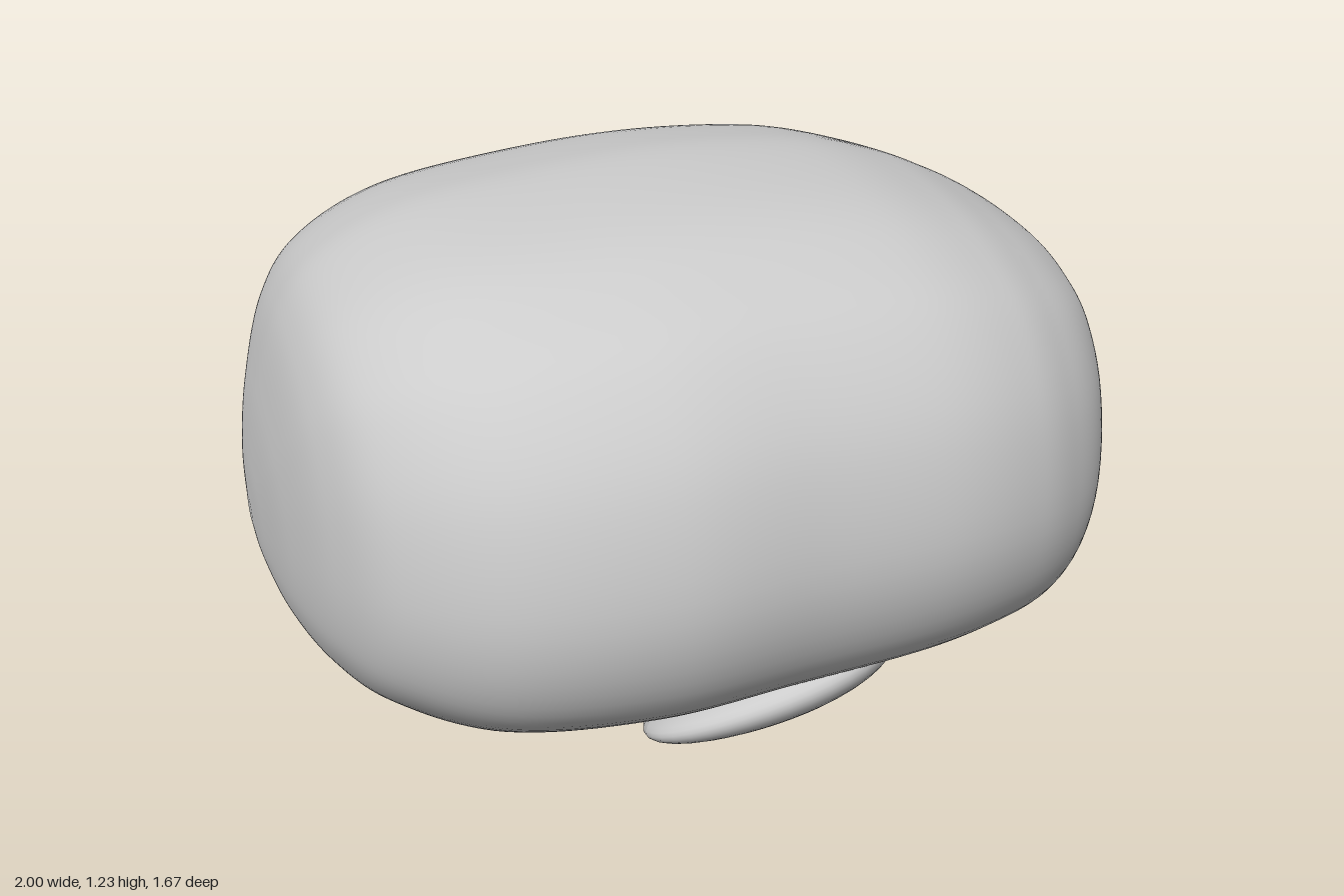
import * as THREE from 'three';
import { mergeVertices } from 'three/addons/utils/BufferGeometryUtils.js';

const material = new THREE.MeshStandardMaterial({ color: 0xcccccc });

// Body extents at stations along x: [x, top, bottom, front, back]
const STATIONS = [
  [-1.0, 0.44, 0.38, -0.2, -0.27],
  [-0.99, 0.57, 0.32, -0.04, -0.38],
  [-0.96, 0.75, 0.26, 0.2, -0.47],
  [-0.9, 0.95, 0.195, 0.43, -0.57],
  [-0.8, 1.075, 0.13, 0.61, -0.68],
  [-0.6, 1.165, 0.06, 0.76, -0.79],
  [-0.3, 1.21, 0.04, 0.83, -0.835],
  [0, 1.225, 0.04, 0.82, -0.84],
  [0.3, 1.205, 0.055, 0.81, -0.825],
  [0.5, 1.155, 0.07, 0.76, -0.775],
  [0.63, 1.1, 0.08, 0.69, -0.715],
  [0.73, 1.045, 0.125, 0.605, -0.64],
  [0.81, 0.985, 0.21, 0.49, -0.54],
  [0.87, 0.9, 0.3, 0.36, -0.41],
  [0.91, 0.79, 0.42, 0.2, -0.24],
  [0.925, 0.62, 0.56, 0.02, -0.06],
];

// Middle cross-section as [z, y], from the crown round by the front
const SECTION = [
  [0, 1.225], [0.3, 1.203], [0.5, 1.145], [0.66, 1.05], [0.79, 0.86], [0.84, 0.6],
  [0.78, 0.38], [0.62, 0.22], [0.4, 0.1], [0.15, 0.05], [-0.1, 0.04], [-0.3, 0.06],
  [-0.5, 0.13], [-0.66, 0.27], [-0.77, 0.45], [-0.84, 0.7], [-0.79, 0.9],
  [-0.63, 1.065], [-0.43, 1.155], [-0.2, 1.205],
];

// Swellings drawn out of the body skin: centre, reach, push and edge sharpness
const SWELLINGS = [
  { centre: [0.9, 0.765, -0.02], reach: [0.2, 0.075, 0.18], push: [0.088, 0, 0], edge: 1.8 }, // side nub
  { centre: [0.0, 0.21, -0.58], reach: [0.34, 0.13, 0.14], push: [0, -0.025, -0.065], edge: 2 }, // back bulge
];

function swell(p) {
  const offset = new THREE.Vector3();
  for (const { centre, reach, push, edge } of SWELLINGS) {
    const d = p.clone().sub(new THREE.Vector3(...centre)).divide(new THREE.Vector3(...reach));
    offset.addScaledVector(new THREE.Vector3(...push), Math.exp(-Math.pow(d.lengthSq(), edge)));
  }
  return p.add(offset);
}

function bodyGeometry(rings = 150, sides = 112) {
  const curve = (points, closed) => new THREE.CatmullRomCurve3(points, closed, 'catmullrom', 0.5);
  const heights = curve(STATIONS.map(s => new THREE.Vector3(s[0], s[1], s[2])));
  const depths = curve(STATIONS.map(s => new THREE.Vector3(s[0], s[3], s[4])));
  const section = curve(SECTION.map(([z, y]) => new THREE.Vector3(z, y, 0)), true);

  // Section as fractions: 0..1 from back to front and bottom to top
  const outline = [];
  for (let j = 0; j < sides; j++) {
    const p = section.getPoint(j / sides);
    outline.push([(p.x + 0.84) / 1.68, (p.y - 0.04) / 1.185]);
  }

  const positions = [], index = [];
  for (let i = 0; i <= rings; i++) {
    const h = heights.getPoint(i / rings), d = depths.getPoint(i / rings);
    for (const [u, v] of outline) {
      const p = new THREE.Vector3(h.x, h.z + (h.y - h.z) * v, d.z + (d.y - d.z) * u);
      positions.push(...swell(p));
    }
  }
  for (let i = 0; i < rings; i++) {
    for (let j = 0; j < sides; j++) {
      const a = i * sides + j, b = i * sides + (j + 1) % sides;
      index.push(a, b, a + sides, b, b + sides, a + sides);
    }
  }
  // Close both ends with a fan
  for (const [ring, s] of [[0, STATIONS[0]], [rings, STATIONS.at(-1)]]) {
    const centre = positions.length / 3;
    positions.push(...swell(new THREE.Vector3(s[0], (s[1] + s[2]) / 2, (s[3] + s[4]) / 2)));
    for (let j = 0; j < sides; j++) {
      const a = ring * sides + j, b = ring * sides + (j + 1) % sides;
      index.push(...(ring ? [centre, a, b] : [centre, b, a]));
    }
  }
  const g = new THREE.BufferGeometry();
  g.setAttribute('position', new THREE.Float32BufferAttribute(positions, 3));
  g.setIndex(index);
  const merged = mergeVertices(g);
  merged.computeVertexNormals();
  return merged;
}

// Flat lens that narrows towards its right tip
function flapGeometry() {
  const g = new THREE.SphereGeometry(1, 40, 24);
  const pos = g.attributes.position;
  for (let i = 0; i < pos.count; i++) {
    const taper = 1 + 0.2 * pos.getX(i);
    pos.setXYZ(i, pos.getX(i) * 0.31, pos.getY(i) * 0.085 * taper, pos.getZ(i) * 0.25 * taper);
  }
  g.computeVertexNormals();
  return g;
}

export function createModel() {
  const group = new THREE.Group();
  group.name = 'roundedLump';

  const body = new THREE.Mesh(bodyGeometry(), material);
  body.name = 'body';
  group.add(body);

  // Flap hugging the underside of the front
  const flap = new THREE.Mesh(flapGeometry(), material);
  flap.name = 'frontFlap';
  flap.position.set(0.03, 0.132, 0.435);
  flap.rotation.set(-0.42, 0, 0.24);
  group.add(flap);

  return group;
}
